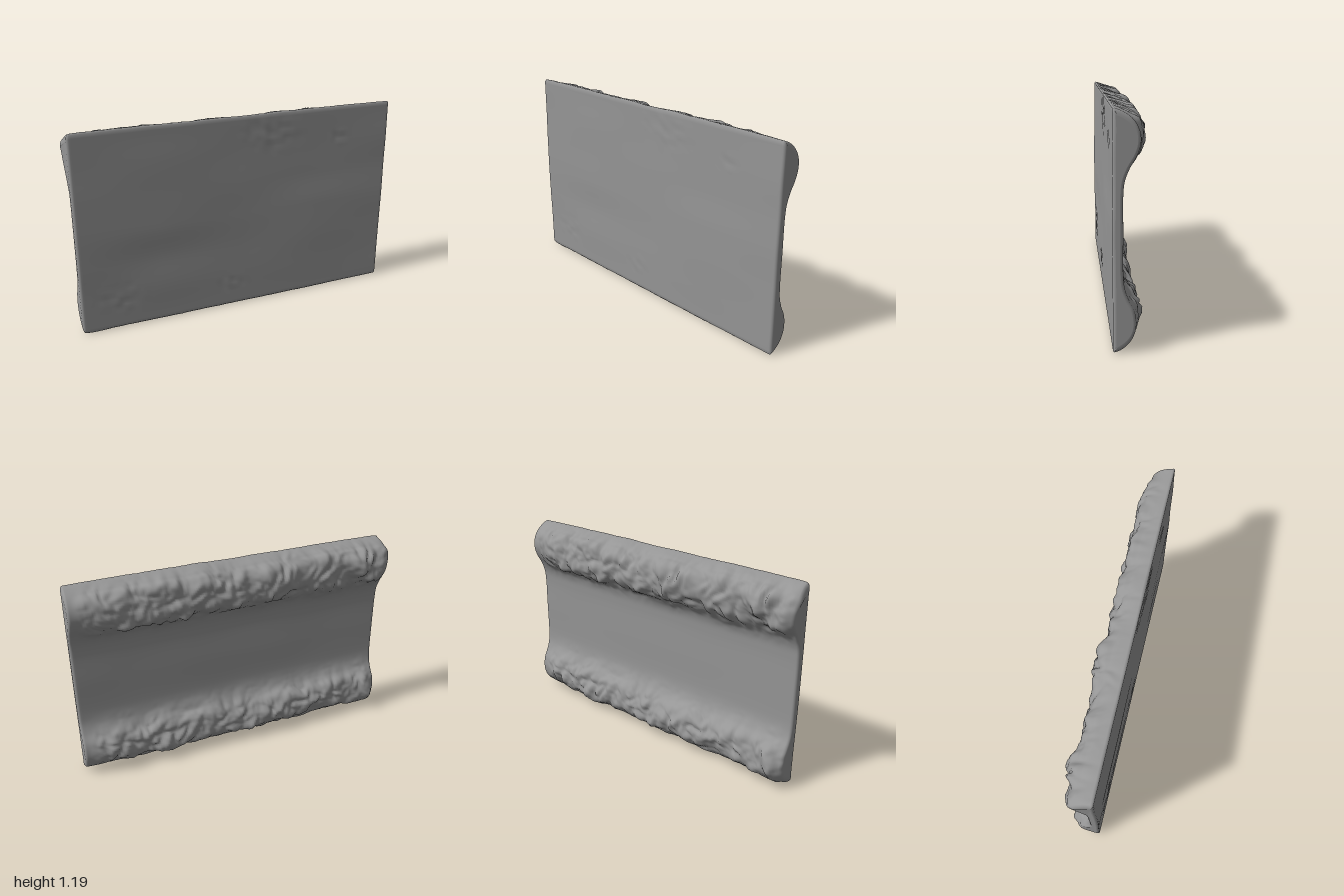
import * as THREE from 'three';

const { smoothstep, lerp } = THREE.MathUtils;
const LEFT = -0.982, RIGHT = 0.998;

// Seeded value noise in two dimensions, 0..1
function hash(i, j, seed) {
  let h = Math.imul(i, 374761393) ^ Math.imul(j, 668265263) ^ Math.imul(seed, 1274126177);
  h = Math.imul(h ^ (h >>> 13), 1103515245);
  return ((h ^ (h >>> 16)) >>> 0) / 4294967296;
}
function noise(x, y, seed) {
  const i = Math.floor(x), j = Math.floor(y);
  const u = smoothstep(x - i, 0, 1), v = smoothstep(y - j, 0, 1);
  return lerp(
    lerp(hash(i, j, seed), hash(i + 1, j, seed), u),
    lerp(hash(i, j + 1, seed), hash(i + 1, j + 1, seed), u), v);
}

// Lumpy rock relief: rounded boulders with finer chips on top, about 0..1
function rock(x, s) {
  const wx = x + 0.06 * noise(x * 9, s * 9, 1), ws = s + 0.06 * noise(x * 9, s * 9, 2);
  const big = noise(wx * 8, ws * 9, 3);
  const lumps = Math.abs(2 * noise(wx * 14 + ws * 5, ws * 16, 4) - 1);
  const chips = noise(wx * 34, ws * 30, 5);
  const grain = noise(wx * 65, ws * 60, 6);
  return 0.5 * big + 0.3 * lumps + 0.2 * chips + 0.08 * grain;
}

// Closed cross-section as (z, y): down the back over both ridges, up the flat front
function sectionLoop() {
  const back = new THREE.CatmullRomCurve3([
    [0.082, 1.19], [0.05, 1.178], [0.0, 1.143], [-0.033, 1.09], [-0.04, 1.03], [-0.022, 0.97],
    [0.012, 0.91], [0.034, 0.85], [0.041, 0.78], [0.042, 0.6], [0.041, 0.39], [0.034, 0.33],
    [0.015, 0.275], [-0.012, 0.22], [-0.022, 0.165], [-0.017, 0.11], [0.01, 0.056],
    [0.05, 0.021], [0.082, 0.008],
  ].map(([z, y]) => new THREE.Vector3(z, y, 0)), false, 'centripetal');
  const points = back.getSpacedPoints(150).map(p => new THREE.Vector2(p.x, p.y));
  for (let i = 0; i <= 60; i++) points.push(new THREE.Vector2(0.09, lerp(0.014, 1.184, i / 60)));
  return points.map((p, j) => {
    const a = points[(j + points.length - 1) % points.length], b = points[(j + 1) % points.length];
    const t = b.clone().sub(a).normalize();
    return { z: p.x, y: p.y, nz: t.y, ny: -t.x, front: j > 150 };
  });
}

// Waviness of the front face, with a few lightly chipped patches [x, y, radius]
function frontRelief(x, y) {
  let d = 0.009 * (noise(x * 2 + 9, y * 5, 7) - 0.15) * Math.sin(Math.PI * y / 1.2);
  for (const [px, py, radius] of [[0.2, 1.08, 0.28], [0.65, 1.0, 0.12], [-0.75, 0.2, 0.22], [-0.05, 0.16, 0.14]]) {
    const fade = 1 - smoothstep(Math.hypot(x - px, (y - py) * 1.6), 0, radius);
    d += 0.005 * fade * (noise(x * 22 + y * 12, y * 30, 9) - 0.6);
  }
  return d;
}

// Rocky relief of the back: strong on the ridges, fading at the rims and ends
function backRelief(x, { y, z }) {
  const ridge = 1 - smoothstep(z, -0.03, 0.042);
  const rim = smoothstep(Math.min(y, 1.2 - y), 0, 0.065);
  const ends = (1 - smoothstep(x, 0.82, 0.985)) * lerp(0.3, 1, smoothstep(x, LEFT, -0.92));
  const foot = smoothstep(Math.abs(y - 0.6), 0.2, 0.45);
  const weight = Math.max(ridge, 0.5 * foot) * (0.1 + 0.9 * rim) * ends;
  return 0.084 * weight * Math.max(0, rock(x, y) - 0.1) + 0.002 * (noise(x * 3, y * 5, 8) - 0.5);
}

// Pull-in that rounds the slab's corners near one end
function cornerPull(distance, radius) {
  const q = Math.max(0, 1 - distance / radius);
  return radius * (1 - Math.sqrt(1 - q * q));
}

// One loop of the slab at x, pulled in by inset for the rounded ends
function slabSection(loop, x, inset) {
  const pull = cornerPull(x - LEFT, 0.025) + cornerPull(RIGHT - x, 0.012);
  return loop.map(p => {
    const d = (p.front ? frontRelief(x, p.y) : backRelief(x, p)) - inset;
    // The upper ridge swells out past the right-hand end
    const swell = Math.exp(-(((p.y - 1.1) / 0.06) ** 2))
      * smoothstep(0.09 - p.z, 0, 0.07) * (1 - 0.6 * smoothstep(-p.z, 0, 0.05));
    const px = x - 0.02 * swell * (1 - smoothstep(x, -0.98, -0.85));
    const corner = pull * smoothstep(Math.abs(p.y - 0.6), 0.45, 0.585) * Math.sign(0.6 - p.y);
    return [px, p.y + p.ny * d + corner, p.z + p.nz * d];
  });
}

function slabGeometry() {
  const loop = sectionLoop(), n = loop.length;
  const r = 0.016, steps = 190;
  // Stations [x, inset] along the length, rounded over at both ends
  const rounding = [0, 1, 2, 3, 4].map(k => {
    const a = k / 5 * Math.PI / 2;
    return [r * (1 - Math.cos(a)), r * (1 - Math.sin(a))];
  });
  const stations = rounding.map(([dx, inset]) => [LEFT + dx, inset]);
  for (let i = 0; i <= steps; i++) stations.push([lerp(LEFT + r, RIGHT - r, i / steps), 0]);
  stations.push(...rounding.map(([dx, inset]) => [RIGHT - dx, inset]).reverse());

  const sections = stations.map(([x, inset]) => slabSection(loop, x, inset));
  const position = sections.flat(2), index = [];
  for (let i = 0; i < sections.length - 1; i++) {
    for (let j = 0; j < n; j++) {
      const a = i * n + j, b = i * n + (j + 1) % n;
      index.push(a, a + n, b, b, a + n, b + n);
    }
  }
  // End caps with their own vertices so that they shade flat
  for (const [section, side] of [[sections[0], -1], [sections[sections.length - 1], 1]]) {
    const start = position.length / 3;
    position.push(...section.flat());
    const outline = section.map(([, y, z]) => new THREE.Vector2(-z, y));
    for (const [a, b, c] of THREE.ShapeUtils.triangulateShape(outline, [])) {
      const area = THREE.ShapeUtils.area([outline[a], outline[b], outline[c]]);
      if (area * side > 0) index.push(start + a, start + b, start + c);
      else index.push(start + a, start + c, start + b);
    }
  }
  const geometry = new THREE.BufferGeometry();
  geometry.setAttribute('position', new THREE.Float32BufferAttribute(position, 3));
  geometry.setIndex(index);
  geometry.computeVertexNormals();
  return geometry;
}

export function createModel() {
  const group = new THREE.Group();
  group.name = 'stonePanel';
  const material = new THREE.MeshStandardMaterial({ color: 0x969696 });
  const slab = new THREE.Mesh(slabGeometry(), material);
  slab.name = 'ridgedSlab';
  group.add(slab);
  return group;
}
